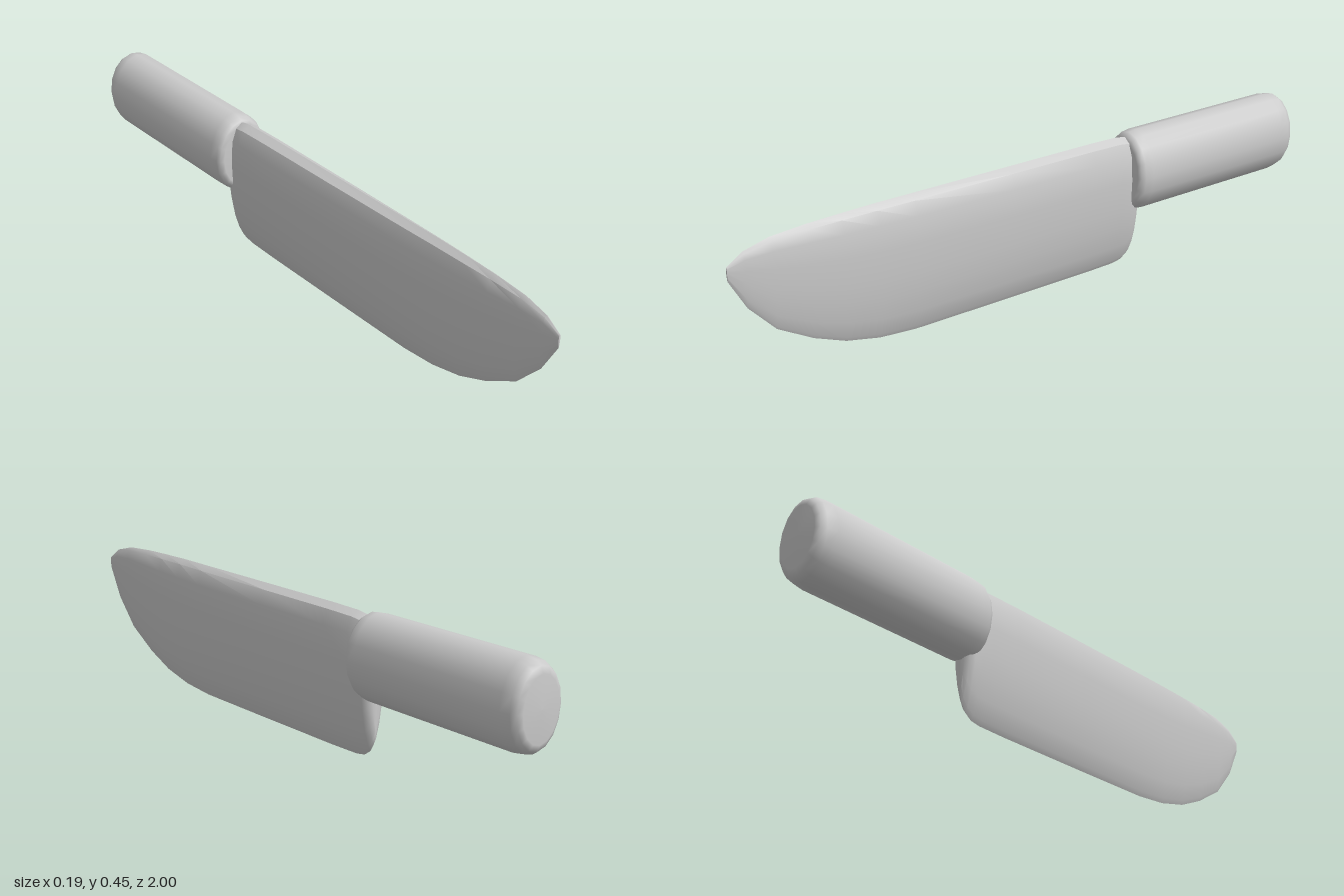
import * as THREE from 'three';
import { toCreasedNormals } from 'three/addons/utils/BufferGeometryUtils.js';

const material = new THREE.MeshStandardMaterial({ color: 0xcccccc });

// Stations along the blade, heel to tip: z, bottom, top, half width
const STATIONS = [
  [-0.387, 0.09, 0.38, 0.02], [-0.38, 0.055, 0.41, 0.034], [-0.365, 0.028, 0.422, 0.043],
  [-0.34, 0.01, 0.433, 0.047], [-0.305, 0.004, 0.438, 0.049], [-0.2, 0.002, 0.44, 0.049],
  [0.1, 0.002, 0.44, 0.046], [0.43, 0.003, 0.44, 0.04], [0.55, 0.013, 0.44, 0.036],
  [0.66, 0.038, 0.438, 0.032], [0.76, 0.08, 0.435, 0.027], [0.87, 0.145, 0.427, 0.019],
  [0.95, 0.235, 0.406, 0.011], [1, 0.33, 0.372, 0.003],
];

// Half cross-section from cutting edge to spine: width share, height share
const SECTION = [
  [0, 0], [0.2, 0.035], [0.54, 0.16], [0.8, 0.32], [0.92, 0.46],
  [1, 0.68], [0.9, 0.865], [0.54, 0.965], [0, 1],
];

function bladeGeometry() {
  const left = SECTION.slice(1, -1).reverse().map(([w, h]) => [-w, h]);
  const ring = [...SECTION, ...left];
  const n = ring.length;
  const positions = [];
  const index = [];
  for (const [z, bottom, top, half] of STATIONS) {
    for (const [w, h] of ring) positions.push(w * half, bottom + h * (top - bottom), z);
  }
  // Skin between neighbouring stations
  for (let i = 0; i < STATIONS.length - 1; i++) {
    for (let j = 0; j < n; j++) {
      const k = (j + 1) % n;
      const a = i * n + j, b = i * n + k, c = b + n, d = a + n;
      index.push(a, b, c, a, c, d);
    }
  }
  // Close heel and tip
  const last = (STATIONS.length - 1) * n;
  for (let j = 1; j < n - 1; j++) {
    index.push(0, j + 1, j, last, last + j, last + j + 1);
  }
  const geometry = new THREE.BufferGeometry();
  geometry.setAttribute('position', new THREE.Float32BufferAttribute(positions, 3));
  geometry.setIndex(index);
  return toCreasedNormals(geometry, 0.6);
}

// Oval grip with rounded ends, turned to lie along z
function handleGeometry() {
  const profile = [
    [0, -1], [0.72, -0.998], [0.87, -0.99], [0.96, -0.973], [1, -0.94],
    [1, -0.39], [0.97, -0.362], [0.9, -0.349], [0.78, -0.343], [0, -0.342],
  ].map(([r, z]) => new THREE.Vector2(r, z));
  const geometry = new THREE.LatheGeometry(profile, 16);
  geometry.rotateX(Math.PI / 2);
  geometry.scale(0.095, 0.132, 1);
  geometry.translate(0, 0.316, 0);
  return geometry;
}

export function createModel() {
  const knife = new THREE.Group();
  knife.name = 'knife';
  const parts = { blade: bladeGeometry(), handle: handleGeometry() };
  for (const [name, geometry] of Object.entries(parts)) {
    const mesh = new THREE.Mesh(geometry, material);
    mesh.name = name;
    knife.add(mesh);
  }
  return knife;
}
